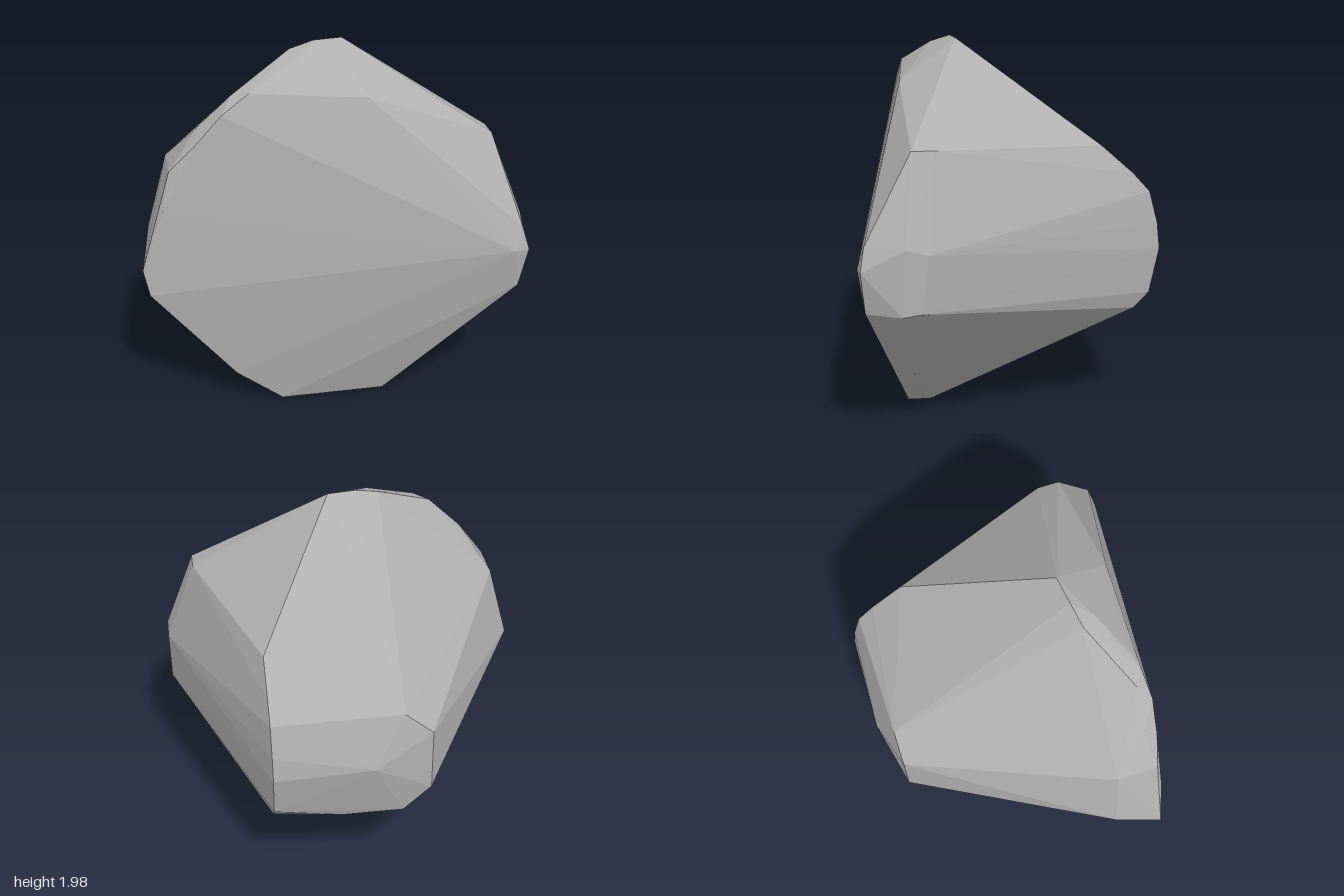
import * as THREE from 'three';
import { ConvexGeometry } from 'three/addons/geometries/ConvexGeometry.js';

const stone = new THREE.MeshStandardMaterial({ color: 0xb0b0b0 });
stone.name = 'grey stone';

// Corners of the chipped boulder, grouped by region
const crown = [
  [0.09, 1.98, 0.25], [-0.06, 1.98, 0.27], [-0.19, 1.95, 0.295], [-0.14, 1.94, 0.37],
  [-0.33, 1.84, 0.49], [0.17, 1.76, 0.555],
];
const leftShoulder = [
  [-0.51, 1.79, 0.47], [-0.69, 1.62, 0.46], [-0.43, 1.81, 0.52], [-0.57, 1.71, 0.54],
  [-0.71, 1.55, 0.53], [-0.84, 1.41, 0.28], [-0.84, 1.41, 0.5], [-0.88, 1.21, 0.53],
];
const leftTip = [
  [-0.95, 1.0, 0.27], [-1, 0.87, 0.52], [-0.97, 0.73, 0.54],
];
const rightSide = [
  [0.83, 1.51, 0.41], [0.83, 1.51, 0.53], [1, 1.03, 0.46], [1, 1.06, 0.57],
  [1, 0.735, 0.49], [1, 0.72, 0.59], [0.985, 0.95, 0.79], [0.95, 1.07, 0.77],
  [0.945, 0.73, 0.77], [0.91, 0.95, 0.805],
];
const base = [
  [0.28, 0.01, 0.54], [0.28, 0.01, 0.42], [0.14, 0, 0.39], [-0.28, 0.01, 0.37],
  [-0.28, 0.01, 0.54], [-0.53, 0.2, 0.54], [0.6, 0.28, 0.52],
];
// Rounded rear edge on the right: [y, z] pairs at a constant x
const rearEdge = [
  [1.46, -0.47], [1.31, -0.64], [1.21, -0.73], [1.04, -0.775],
  [0.9, -0.79], [0.66, -0.74], [0.575, -0.66],
].map(([y, z]) => [0.52, y, z]);
const rear = [
  [-0.01, 0.93, -0.81], [0.17, 1.21, -0.73], [-0.17, 1.21, -0.73], [-0.32, 1.08, -0.73],
  [-0.32, 0.72, -0.73], [-0.17, 0.58, -0.73], [0.15, 0.575, -0.72],
];

export function createModel() {
  const group = new THREE.Group();
  group.name = 'rock';
  const corners = [crown, leftShoulder, leftTip, rightSide, base, rearEdge, rear].flat()
    .map((p) => new THREE.Vector3(...p));

  // Faceted convex boulder
  const boulder = new THREE.Mesh(new ConvexGeometry(corners), stone);
  boulder.name = 'boulder';
  group.add(boulder);
  return group;
}
